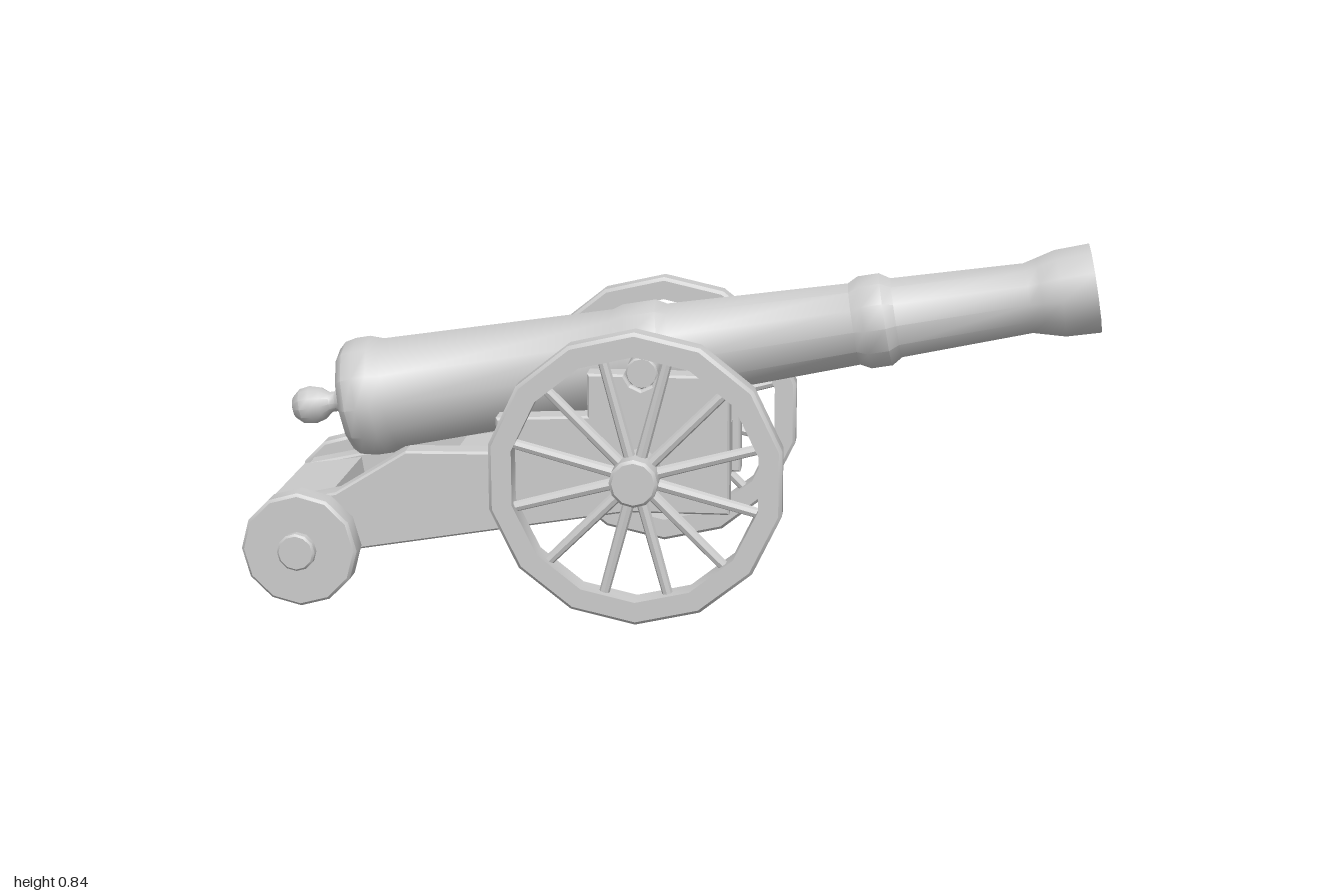
import * as THREE from 'three';
import { toCreasedNormals } from 'three/addons/utils/BufferGeometryUtils.js';

const material = new THREE.MeshStandardMaterial({ color: 0xcccccc });

function add(parent, name, geometry, x = 0, y = 0, z = 0, crease = 0.7) {
  const mesh = new THREE.Mesh(toCreasedNormals(geometry, crease), material);
  mesh.name = name;
  mesh.position.set(x, y, z);
  parent.add(mesh);
  return mesh;
}

const lathe = (points, sides) =>
  new THREE.LatheGeometry(points.map(([r, h]) => new THREE.Vector2(r, h)), sides);

// Cylinder lying along z
const rod = (radius, length, sides = 12) =>
  new THREE.CylinderGeometry(radius, radius, length, sides).rotateX(Math.PI / 2);

// Solid disc along z with softened edges
function disc(radius, width, bevel, sides) {
  const h = width / 2;
  return lathe([[0, -h], [radius - bevel, -h], [radius, -h + bevel],
    [radius, h - bevel], [radius - bevel, h], [0, h]], sides).rotateX(Math.PI / 2);
}

function createBarrel() {
  const barrel = new THREE.Group();
  barrel.name = 'barrel';
  // Knob, breech, bands, muzzle flare, then back into the bore
  const profile = [
    [0, -0.893], [0.026, -0.885], [0.043, -0.865], [0.047, -0.84], [0.04, -0.815],
    [0.025, -0.795], [0.025, -0.78], [0.042, -0.76], [0.1, -0.752], [0.125, -0.745],
    [0.141, -0.728], [0.147, -0.7], [0.147, -0.665], [0.136, -0.635],
    [0.122, -0.07], [0.13, -0.045], [0.13, 0.035], [0.116, 0.06],
    [0.099, 0.49], [0.112, 0.515], [0.112, 0.565], [0.096, 0.59],
    [0.084, 0.9], [0.092, 0.93], [0.104, 0.975], [0.107, 1.056],
    [0.062, 1.056], [0.054, 1.04], [0.054, 0.7], [0, 0.7],
  ];
  add(barrel, 'gunTube', lathe(profile, 12));
  barrel.rotation.z = THREE.MathUtils.degToRad(9.8 - 90);
  barrel.position.set(-0.065, 0.56, 0);
  return barrel;
}

function createSpokedWheel() {
  const wheel = new THREE.Group();
  wheel.name = 'frontWheel';
  const R = 0.343, r = 0.288, h = 0.03, b = 0.008;
  const rim = lathe([[r, -h], [R - b, -h], [R, -h + b], [R, h - b], [R - b, h], [r, h], [r, -h]], 14);
  add(wheel, 'rim', rim.rotateX(Math.PI / 2).rotateZ(Math.PI / 2 + Math.PI / 2));
  for (let i = 0; i < 12; i++) {
    const spoke = new THREE.CylinderGeometry(0.012, 0.014, 0.27, 8).translate(0, 0.165, 0);
    add(wheel, 'spoke', spoke.rotateZ(((i + 0.5) * Math.PI) / 6));
  }
  add(wheel, 'hub', disc(0.056, 0.112, 0.007, 12));
  return wheel;
}

// Stepped side plank
function createCheek() {
  const outline = [
    [0.14, 0.23], [0.14, 0.525], [0.105, 0.56], [-0.025, 0.56],
    [-0.04, 0.535], [-0.065, 0.523], [-0.09, 0.535], [-0.105, 0.56],
    [-0.19, 0.56], [-0.19, 0.46], [-0.405, 0.45], [-0.405, 0.368],
    [-0.62, 0.365], [-0.79, 0.26], [-0.95, 0.225], [-0.985, 0.19], [-0.985, 0.085],
    [-0.93, 0.09], [-0.1, 0.23],
  ];
  const shape = new THREE.Shape(outline.map(([x, y]) => new THREE.Vector2(x, y)));
  return new THREE.ExtrudeGeometry(shape, {
    depth: 0.054, bevelEnabled: true, bevelThickness: 0.006, bevelSize: 0.005,
    bevelOffset: -0.005, bevelSegments: 1,
  }).translate(0, 0, -0.027);
}

export function createModel() {
  const model = new THREE.Group();
  model.name = 'cannon';
  model.add(createBarrel());
  add(model, 'trunnion', disc(0.038, 0.412, 0.004, 12), -0.065, 0.56, 0);

  // Axles
  add(model, 'frontAxle', rod(0.034, 0.78), -0.065, 0.346, 0);
  add(model, 'rearAxle', disc(0.045, 0.645, 0.005, 12), -0.865, 0.14, 0);

  // Cross pieces between the cheeks: x, y, width, height, tilt
  const crossPieces = [
    ['frontTransom', 0.05, 0.3, 0.14, 0.13, 0],
    ['middleTransom', -0.455, 0.255, 0.16, 0.13, 0.15],
    ['rearTransom', -0.88, 0.18, 0.15, 0.11, 0.15],
  ];
  for (const [name, x, y, w, h, tilt] of crossPieces) {
    add(model, name, new THREE.BoxGeometry(w, h, 0.33), x, y, 0).rotation.z = tilt;
  }

  // Mirrored cheeks and wheels
  for (const side of [1, -1]) {
    add(model, 'cheek', createCheek(), 0, 0, side * 0.19, 0.4);
    const wheel = createSpokedWheel();
    wheel.position.set(-0.065, 0.346, side * 0.335);
    model.add(wheel);
    add(model, 'rearWheel', disc(0.137, 0.064, 0.007, 12), -0.863, 0.14, side * 0.269);
  }
  return model;
}
